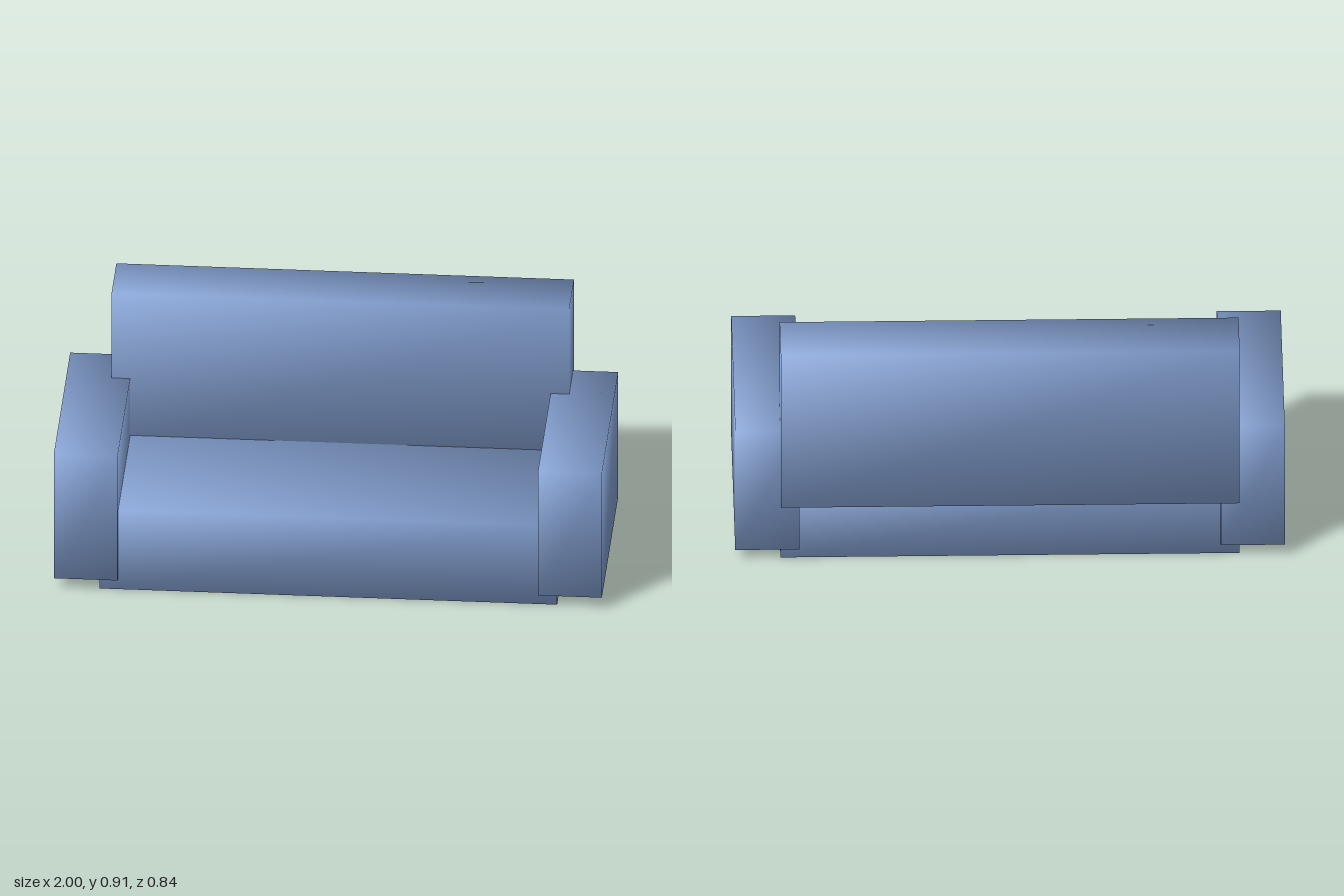
import * as THREE from 'three';
import { mergeVertices } from 'three/addons/utils/BufferGeometryUtils.js';

const fabric = new THREE.MeshStandardMaterial({ color: 0x85a2d4 });
fabric.name = 'blue fabric';

// Block between two corners, with shared corner vertices and smooth diagonal normals
function block(name, min, max) {
  const size = max.map((v, i) => v - min[i]);
  const box = new THREE.BoxGeometry(...size);
  box.deleteAttribute('normal');
  box.deleteAttribute('uv');
  const geometry = mergeVertices(box);
  geometry.clearGroups();
  const normals = Array.from(geometry.attributes.position.array, (v) => Math.sign(v) / Math.sqrt(3));
  geometry.setAttribute('normal', new THREE.Float32BufferAttribute(normals, 3));

  const mesh = new THREE.Mesh(geometry, fabric);
  mesh.name = name;
  mesh.position.set(...max.map((v, i) => (v + min[i]) / 2));
  return mesh;
}

export function createModel() {
  const sofa = new THREE.Group();
  sofa.name = 'sofa';

  // Seat and backrest
  sofa.add(block('seat', [-0.835, 0, -0.348], [0.835, 0.325, 0.395]));
  sofa.add(block('backrest', [-0.835, 0.257, -0.419], [0.835, 0.908, -0.187]));

  // Armrests, raised slightly off the floor
  sofa.add(block('leftArmrest', [0.767, 0.048, -0.371], [1, 0.559, 0.419]));
  sofa.add(block('rightArmrest', [-1, 0.048, -0.371], [-0.767, 0.559, 0.419]));

  return sofa;
}
